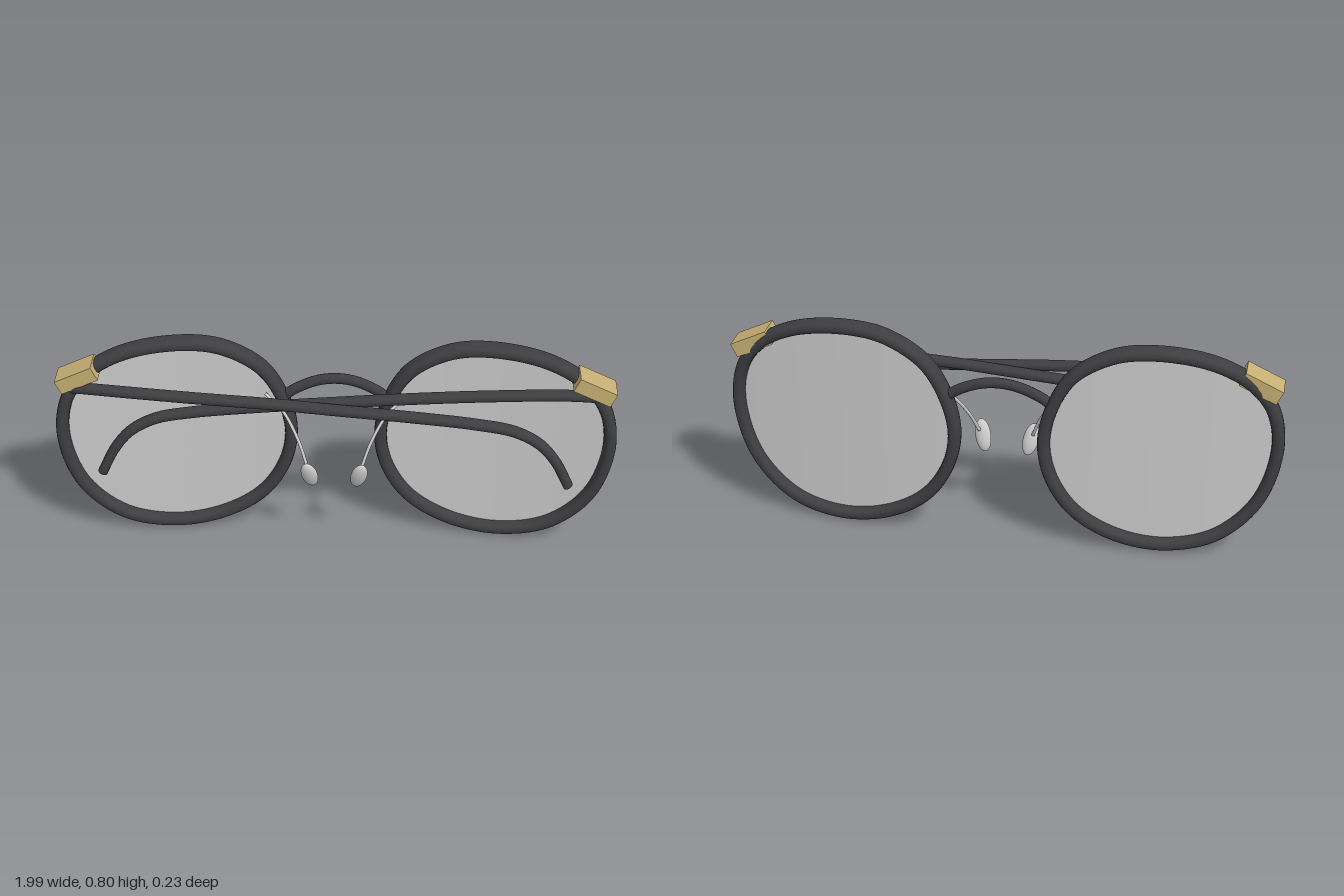
import * as THREE from 'three';

const dark = new THREE.MeshStandardMaterial({ color: 0x3e3d40 });
const gold = new THREE.MeshStandardMaterial({ color: 0xc8b074 });
const grey = new THREE.MeshStandardMaterial({ color: 0xcccccc });
const lensGrey = new THREE.MeshStandardMaterial({ color: 0xcccccc, side: THREE.DoubleSide });

// The whole front is gently wrapped: depth depends on x only.
const wrap = (x) => -0.08 + 0.08 * x * x;

// Outer outline of one eye, inner-to-outer around the rim.
const outline = [
  [0.535, 0.807], [0.39, 0.786], [0.246, 0.698], [0.166, 0.56], [0.136, 0.41],
  [0.166, 0.262], [0.257, 0.126], [0.417, 0.032], [0.604, 0.003], [0.79, 0.053],
  [0.936, 0.203], [0.997, 0.428], [0.968, 0.595], [0.88, 0.705], [0.738, 0.778],
];
const CX = 0.567, CY = 0.405, INSET = 0.944;

const curveOf = (points, side, closed = false) => new THREE.CatmullRomCurve3(
  points.map(([x, y, z]) => new THREE.Vector3(side * x, y, z)), closed, 'centripetal');

const rimCurve = (side) => curveOf(outline.map(([x, y]) => {
  const px = CX + (x - CX) * INSET;
  return [px, CY + (y - CY) * INSET, wrap(px)];
}), side, true);

// Sweeps a rounded section (half width w in the xy plane, half depth d in z) along a curve.
function sweep(curve, w, d, power, steps, closed) {
  const sides = 20, pos = [], index = [];
  const Z = new THREE.Vector3(0, 0, 1);
  const rings = closed ? steps : steps + 1;
  const round = (v) => Math.sign(v) * Math.pow(Math.abs(v), 2 / power);
  for (let i = 0; i < rings; i++) {
    const p = curve.getPointAt(i / steps);
    const n = curve.getTangentAt(i / steps).cross(Z).normalize();
    for (let j = 0; j < sides; j++) {
      const a = (j / sides) * Math.PI * 2;
      const u = w * round(Math.cos(a)), v = d * round(Math.sin(a));
      pos.push(p.x + n.x * u, p.y + n.y * u, p.z + v);
    }
  }
  for (let i = 0; i < steps; i++) {
    for (let j = 0; j < sides; j++) {
      const k = (j + 1) % sides, r0 = i * sides, r1 = ((i + 1) % rings) * sides;
      index.push(r0 + j, r1 + j, r0 + k, r0 + k, r1 + j, r1 + k);
    }
  }
  // Flat end caps with their own vertices, so the edges stay sharp
  if (!closed) {
    for (const end of [0, 1]) {
      const c = pos.length / 3, p = curve.getPointAt(end), base = end * steps * sides * 3;
      pos.push(p.x, p.y, p.z, ...pos.slice(base, base + sides * 3));
      for (let j = 0; j < sides; j++) {
        const a = c + 1 + j, b = c + 1 + (j + 1) % sides;
        index.push(c, end ? b : a, end ? a : b);
      }
    }
  }
  const geo = new THREE.BufferGeometry();
  geo.setAttribute('position', new THREE.Float32BufferAttribute(pos, 3));
  geo.setIndex(index);
  geo.computeVertexNormals();
  return geo;
}

// Lens sheet: rings shrinking from the rim to the centre, following the wrap.
function lensGeometry(side) {
  const pts = rimCurve(side).getSpacedPoints(72).slice(0, 72);
  const rings = 6, n = pts.length;
  const pos = [side * CX, CY, wrap(CX)], index = [];
  for (let r = 1; r <= rings; r++) {
    for (const p of pts) {
      const x = THREE.MathUtils.lerp(side * CX, p.x, r / rings);
      pos.push(x, THREE.MathUtils.lerp(CY, p.y, r / rings), wrap(x));
    }
  }
  for (let j = 0; j < n; j++) {
    const k = (j + 1) % n;
    index.push(0, 1 + j, 1 + k);
    for (let r = 1; r < rings; r++) {
      const a = 1 + (r - 1) * n, b = a + n;
      index.push(a + j, b + j, b + k, a + j, b + k, a + k);
    }
  }
  // Mirrored outlines run the other way round; keep the front facing +z
  if (side < 0) index.reverse();
  const geo = new THREE.BufferGeometry();
  geo.setAttribute('position', new THREE.Float32BufferAttribute(pos, 3));
  geo.setIndex(index);
  geo.computeVertexNormals();
  return geo;
}

export function createModel() {
  const model = new THREE.Group();
  model.name = 'foldedGlasses';
  const add = (name, geometry, material) => {
    const mesh = new THREE.Mesh(geometry, material);
    mesh.name = name;
    model.add(mesh);
    return mesh;
  };

  for (const side of [1, -1]) {
    const label = side > 0 ? 'left' : 'right';

    add(label + 'Rim', sweep(rimCurve(side), 0.0225, 0.037, 2.6, 112, true), dark);
    add(label + 'Lens', lensGeometry(side), lensGrey);

    // Metal corner block
    const block = add(label + 'EndPiece', new THREE.BoxGeometry(0.145, 0.054, 0.096), gold);
    block.position.set(side * 0.902, 0.679, -0.003);
    block.rotation.z = -side * 0.44;

    // Nose pad on its bent wire
    const wire = curveOf([[0.25, 0.578, -0.06], [0.185, 0.53, -0.02],
      [0.13, 0.44, 0.025], [0.098, 0.355, 0.058]], side);
    add(label + 'PadWire', new THREE.TubeGeometry(wire, 24, 0.006, 8), grey);
    const pad = add(label + 'NosePad', new THREE.SphereGeometry(1, 24, 16), grey);
    pad.scale.set(0.029, 0.061, 0.019);
    pad.position.set(side * 0.088, 0.326, 0.075);
    pad.rotation.set(0.32, 0, -side * 0.2);
  }

  // Bridge
  const bridge = curveOf([[-0.19, 0.555, -0.077], [-0.15, 0.586, -0.08], [-0.07, 0.622, -0.085],
    [0, 0.632, -0.086], [0.07, 0.622, -0.085], [0.15, 0.586, -0.08], [0.19, 0.555, -0.077]], 1);
  add('bridge', new THREE.TubeGeometry(bridge, 40, 0.019, 14), dark);

  // Folded temples: same side profile, the right one lying over the left one
  const temple = [[-0.925, 0.638], [-0.8, 0.648], [-0.5, 0.645], [-0.2, 0.63], [0, 0.614],
    [0.3, 0.588], [0.5, 0.565], [0.63, 0.538], [0.72, 0.485], [0.78, 0.41], [0.83, 0.308]];
  const depths = {
    right: [0.02, 0.05, 0.08, 0.087, 0.089, 0.088, 0.086, 0.084, 0.081, 0.078, 0.075],
    left: [0.005, 0.015, 0.03, 0.04, 0.043, 0.047, 0.05, 0.053, 0.055, 0.057, 0.058],
  };
  for (const [label, side] of [['right', 1], ['left', -1]]) {
    const path = curveOf(temple.map(([x, y], i) => [x, y, depths[label][i]]), side);
    add(label + 'Temple', sweep(path, 0.0175, 0.024, 2.4, 72, false), dark);
  }

  return model;
}
